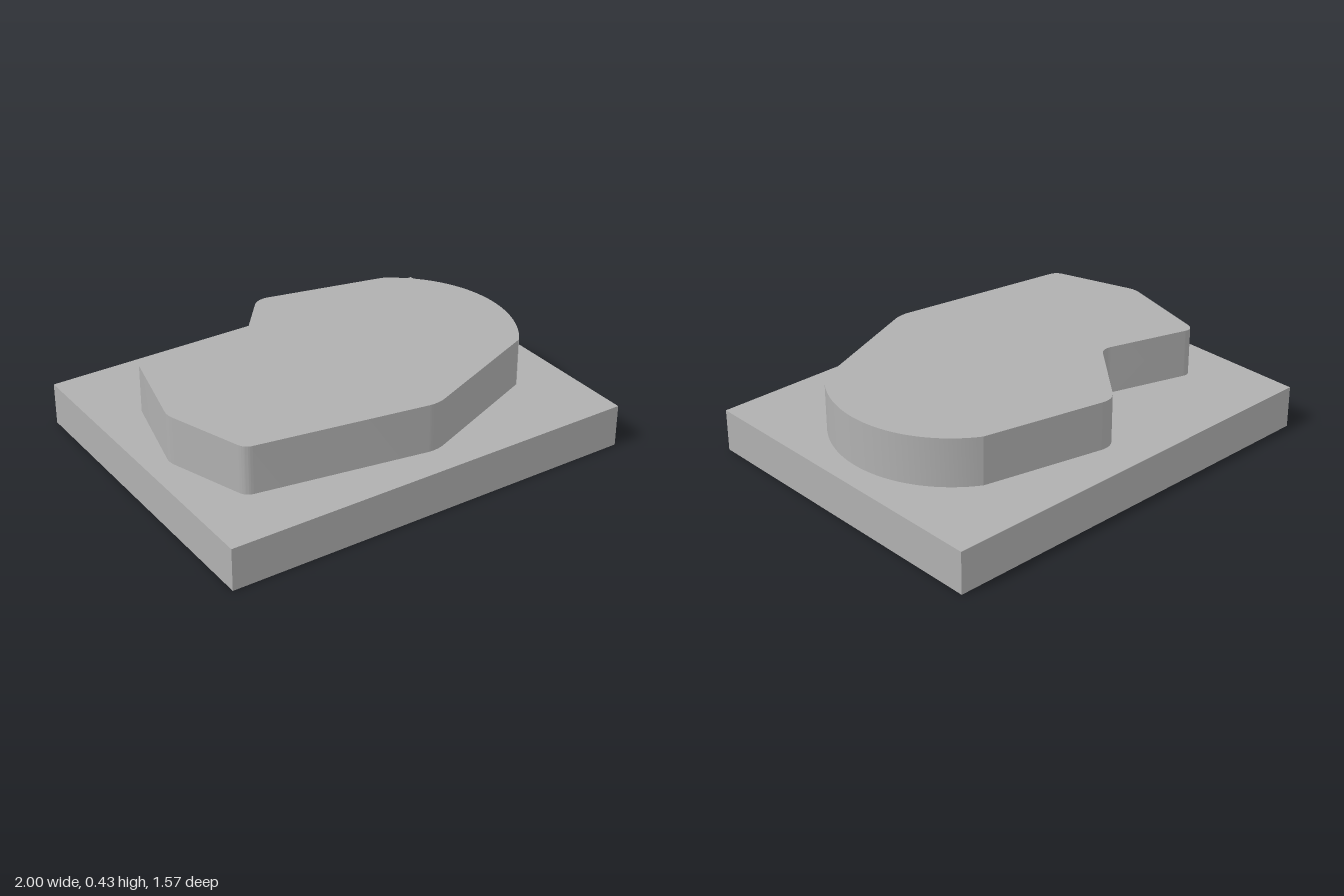
import * as THREE from 'three';
import { toCreasedNormals } from 'three/addons/utils/BufferGeometryUtils.js';

const PLATE = { width: 2, height: 0.2, depth: 1.57 };
const BOSS_HEIGHT = 0.23;

// Boss corners as [x, z, length trimmed off each side by the fillet]
const CORNERS = [
  [0.11, 0.637, 0.05],
  [-0.755, 0.491, 0.037],
  [-0.89, 0.09, 0.033],
  [-0.773, -0.39, 0.05],
  [-0.32, -0.247, 0.045],
  [-0.02, -0.613, 0.06],
];
const ARC = { x: 0.325, z: 0.013, radius: 0.56 };
const ARC_START = [0.6, -0.475];
const ARC_END = [0.745, 0.38];

// Outline drawn in the XY plane with y = -z
function bossShape() {
  const point = ([x, z]) => new THREE.Vector2(x, -z);
  const angle = ([x, z]) => Math.atan2(ARC.z - z, x - ARC.x);
  const path = [ARC_END, ...CORNERS, ARC_START].map(point);
  const shape = new THREE.Shape();
  shape.moveTo(path[0].x, path[0].y);
  CORNERS.forEach(([, , trim], i) => {
    const corner = path[i + 1];
    const toward = (p) => p.clone().sub(corner).setLength(trim).add(corner);
    const a = toward(path[i]);
    const b = toward(path[i + 2]);
    shape.lineTo(a.x, a.y);
    shape.quadraticCurveTo(corner.x, corner.y, b.x, b.y);
  });
  const last = path[path.length - 1];
  shape.lineTo(last.x, last.y);
  // Large rounded end
  shape.absarc(ARC.x, -ARC.z, ARC.radius, angle(ARC_START), angle(ARC_END), true);
  return shape;
}

export function createModel() {
  const model = new THREE.Group();
  const grey = new THREE.MeshStandardMaterial({ color: 0xb0b0b0 });
  grey.name = 'grey';

  // Rectangular base plate
  const plate = new THREE.Mesh(new THREE.BoxGeometry(PLATE.width, PLATE.height, PLATE.depth), grey);
  plate.name = 'basePlate';
  plate.position.y = PLATE.height / 2;
  model.add(plate);

  // Raised boss with filleted corners
  const geometry = new THREE.ExtrudeGeometry(bossShape(), {
    depth: BOSS_HEIGHT, bevelEnabled: false, curveSegments: 24,
  });
  geometry.rotateX(-Math.PI / 2);
  const boss = new THREE.Mesh(toCreasedNormals(geometry, 0.25), grey);
  boss.name = 'raisedBoss';
  boss.position.y = PLATE.height;
  model.add(boss);

  return model;
}
